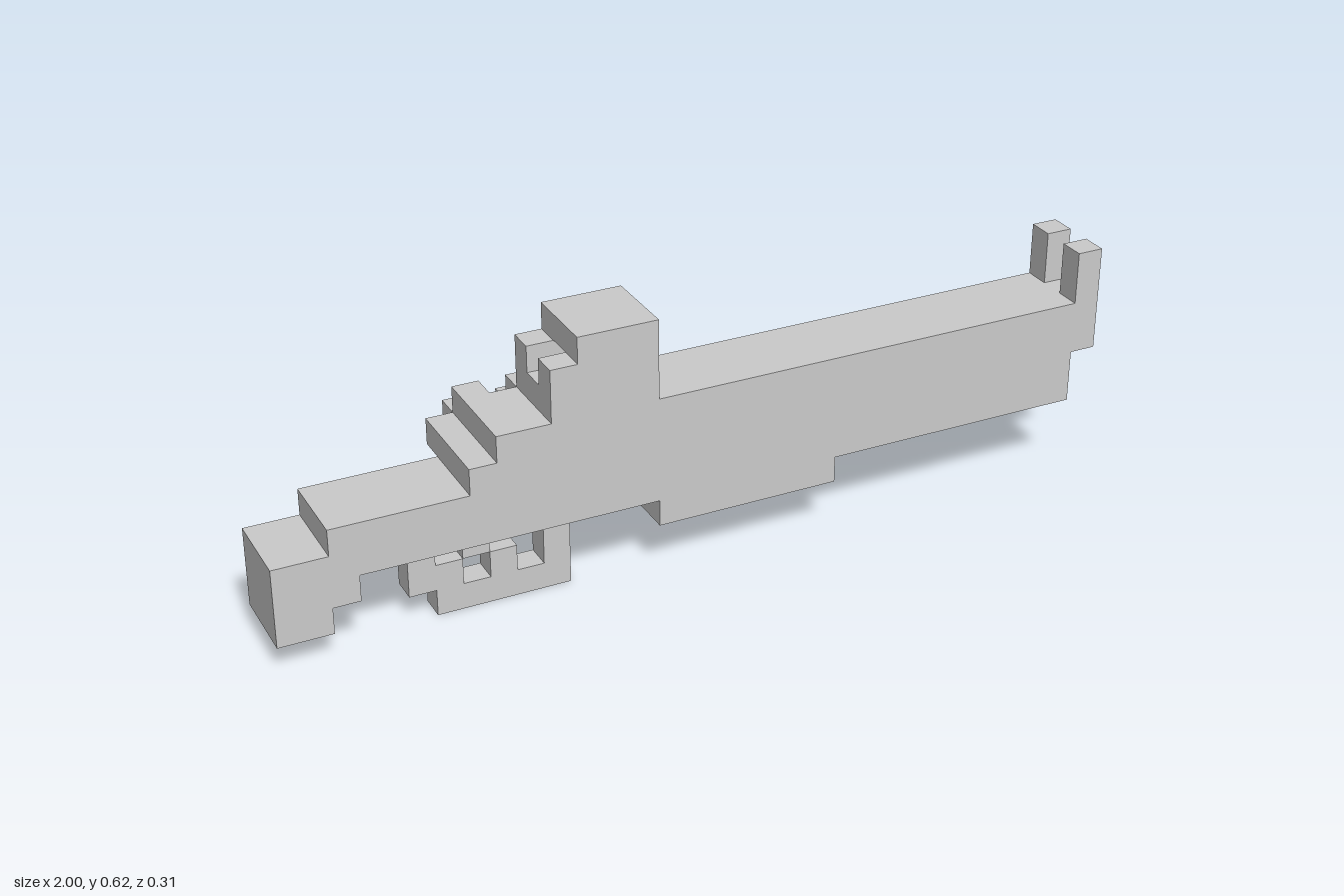
import * as THREE from 'three';

const U = 2 / 32; // one block
const material = new THREE.MeshStandardMaterial({ color: 0xcccccc, flatShading: true });

// Box spanning block coordinates: x 0..32, y 0..10, z 0..5
function block(parent, name, [x0, x1], [y0, y1], [z0, z1]) {
  const mesh = new THREE.Mesh(
    new THREE.BoxGeometry((x1 - x0) * U, (y1 - y0) * U, (z1 - z0) * U), material);
  mesh.name = name;
  mesh.position.set(((x0 + x1) / 2 - 16) * U, ((y0 + y1) / 2) * U, ((z0 + z1) / 2 - 2.5) * U);
  parent.add(mesh);
}

// Stepped side outline in block coordinates, extruded from z0 to z1
function slab(parent, name, outline, z0, z1) {
  const shape = new THREE.Shape(outline.map(([x, y]) => new THREE.Vector2((x - 16) * U, y * U)));
  const geometry = new THREE.ExtrudeGeometry(shape, { depth: (z1 - z0) * U, bevelEnabled: false });
  geometry.translate(0, 0, (z0 - 2.5) * U);
  const mesh = new THREE.Mesh(geometry, material);
  mesh.name = name;
  parent.add(mesh);
}

function group(parent, name) {
  const g = new THREE.Group();
  g.name = name;
  parent.add(g);
  return g;
}

export function createModel() {
  const model = new THREE.Group();
  model.name = 'blockRifle';

  // Stock, receiver, barrel and fore-end as one stepped body
  slab(model, 'body', [
    [0, 1], [2, 1], [2, 2], [3, 2], [3, 3], [14, 3], [14, 2], [21, 2], [21, 3], [31, 3],
    [31, 5], [32, 5], [32, 7], [14, 7], [14, 8], [10, 8], [10, 7], [8, 7], [8, 6],
    [7, 6], [7, 5], [2, 5], [2, 4], [0, 4],
  ], 2, 5);

  // Rear sight: side walls around a see-through channel, with a cap
  const rearSight = group(model, 'rearSight');
  for (const z of [2, 4]) block(rearSight, 'rearSightWall', [10, 14], [8, 9], [z, z + 1]);
  block(rearSight, 'rearSightCap', [11, 14], [9, 10], [2, 5]);

  // Front sight: twin posts
  const frontSight = group(model, 'frontSight');
  for (const z of [2, 4]) block(frontSight, 'frontSightPost', [31, 32], [7, 9], [z, z + 1]);

  // Lever guard with its stepped inner edge, and the trigger
  slab(model, 'leverGuard', [
    [6, 0], [11, 0], [11, 3], [10, 3], [10, 1], [9, 1], [9, 2], [8, 2], [8, 1],
    [7, 1], [7, 2], [6, 2], [6, 3], [5, 3], [5, 1], [6, 1],
  ], 3, 4);
  block(model, 'trigger', [7, 8], [2, 3], [3, 4]);

  // Row of cross-shaped studs on the back
  const studs = group(model, 'studs');
  block(studs, 'studRail', [7, 16], [5, 6], [1, 2]);
  for (const x of [8, 10, 12, 14]) {
    block(studs, 'studTop', [x, x + 1], [6, 7], [1, 2]);
    block(studs, 'studBottom', [x, x + 1], [4, 5], [1, 2]);
    block(studs, 'studTip', [x, x + 1], [5, 6], [0, 1]);
  }
  return model;
}
